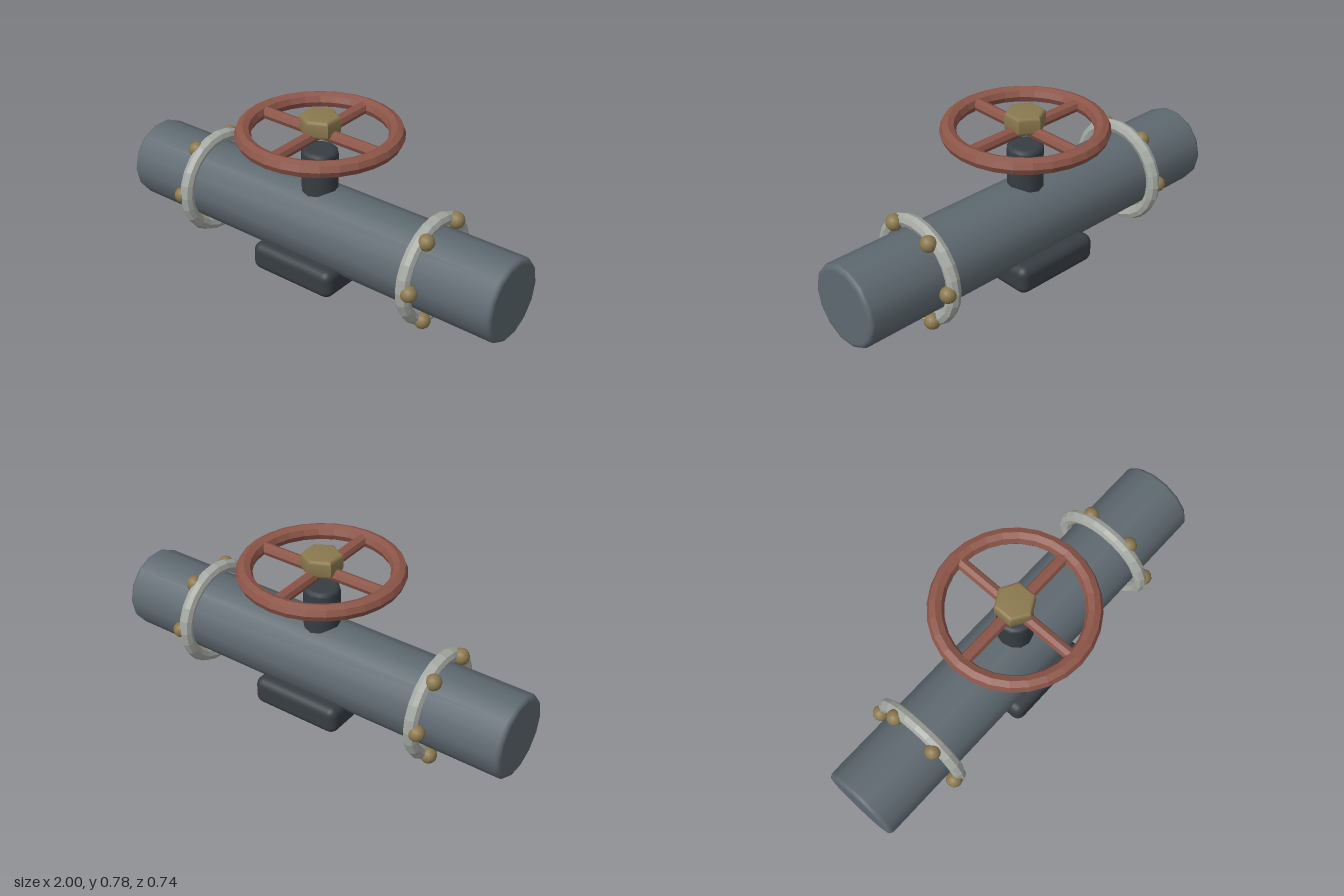
import * as THREE from 'three';
import { toCreasedNormals } from 'three/addons/utils/BufferGeometryUtils.js';
import { RoundedBoxGeometry } from 'three/addons/geometries/RoundedBoxGeometry.js';

const material = (name, color) => Object.assign(new THREE.MeshStandardMaterial({ color }), { name });

// Upright cylinder with rounded rims, centred on its middle
function roundedCylinder(radius, height, bevel, sides) {
  const points = [new THREE.Vector2(0, -height / 2), new THREE.Vector2(radius - bevel - 0.004, -height / 2)];
  for (const end of [-1, 1]) {
    for (let i = 0; i <= 3; i++) {
      const a = (end < 0 ? i - 3 : i) * Math.PI / 6;
      points.push(new THREE.Vector2(
        radius - bevel + bevel * Math.cos(a),
        end * (height / 2 - bevel) + bevel * Math.sin(a)));
    }
  }
  points.push(new THREE.Vector2(radius - bevel - 0.004, height / 2), new THREE.Vector2(0, height / 2));
  return new THREE.LatheGeometry(points, sides);
}

// Faceted torus
function facetedRing(radius, tube, segments) {
  const geometry = new THREE.TorusGeometry(radius, tube, 8, segments).toNonIndexed();
  geometry.computeVertexNormals();
  return geometry;
}

export function createModel() {
  const model = new THREE.Group();
  model.name = 'pipeValve';

  const steel = material('blueGreySteel', 0x5e6970);
  const iron = material('darkIron', 0x373d43);
  const flangeGrey = material('paleMetal', 0xa6aaa4);
  const brass = material('agedBrass', 0x8a784e);
  const red = material('rustRed', 0x8c5548);

  const add = (parent, name, geometry, mat, x = 0, y = 0, z = 0) => {
    const mesh = new THREE.Mesh(geometry, mat);
    mesh.name = name;
    mesh.position.set(x, y, z);
    parent.add(mesh);
    return mesh;
  };

  const axisY = 0.257;

  // Pipe along x, with the foot block and the valve neck
  add(model, 'pipe', roundedCylinder(0.187, 2, 0.02, 14), steel, 0, axisY).rotation.z = Math.PI / 2;
  add(model, 'footBlock', new RoundedBoxGeometry(0.442, 0.134, 0.442, 3, 0.04), iron, 0, 0.093);
  add(model, 'valveNeck', roundedCylinder(0.083, 0.27, 0.02, 12), iron, 0, 0.488);

  // Flange rings with six bolts on each outer face
  const ringGeometry = facetedRing(0.223, 0.031, 24);
  const boltGeometry = new THREE.SphereGeometry(0.037, 12, 8);
  for (const side of [-1, 1]) {
    const flange = new THREE.Group();
    flange.name = side > 0 ? 'leftFlange' : 'rightFlange';
    flange.position.set(side * 0.61, axisY, 0);
    model.add(flange);
    add(flange, 'flangeRing', ringGeometry, flangeGrey).rotation.y = Math.PI / 2;
    for (let i = 0; i < 6; i++) {
      const a = i * Math.PI / 3;
      add(flange, 'bolt', boltGeometry, brass, side * 0.031, 0.223 * Math.sin(a), 0.223 * Math.cos(a));
    }
  }

  // Handwheel: rim, crossed spokes and hexagonal hub
  const wheel = new THREE.Group();
  wheel.name = 'handwheel';
  wheel.position.y = 0.701;
  model.add(wheel);
  add(wheel, 'rim', facetedRing(0.333, 0.037, 28), red).rotation.x = Math.PI / 2;
  const spokeGeometry = toCreasedNormals(new THREE.CylinderGeometry(0.028, 0.028, 0.65, 8), 0.6);
  add(wheel, 'spokeAcross', spokeGeometry, red).rotation.z = Math.PI / 2;
  add(wheel, 'spokeAlong', spokeGeometry, red).rotation.x = Math.PI / 2;
  add(wheel, 'hub', toCreasedNormals(roundedCylinder(0.092, 0.085, 0.018, 6), 0.6), brass, 0, 0.041);

  return model;
}
